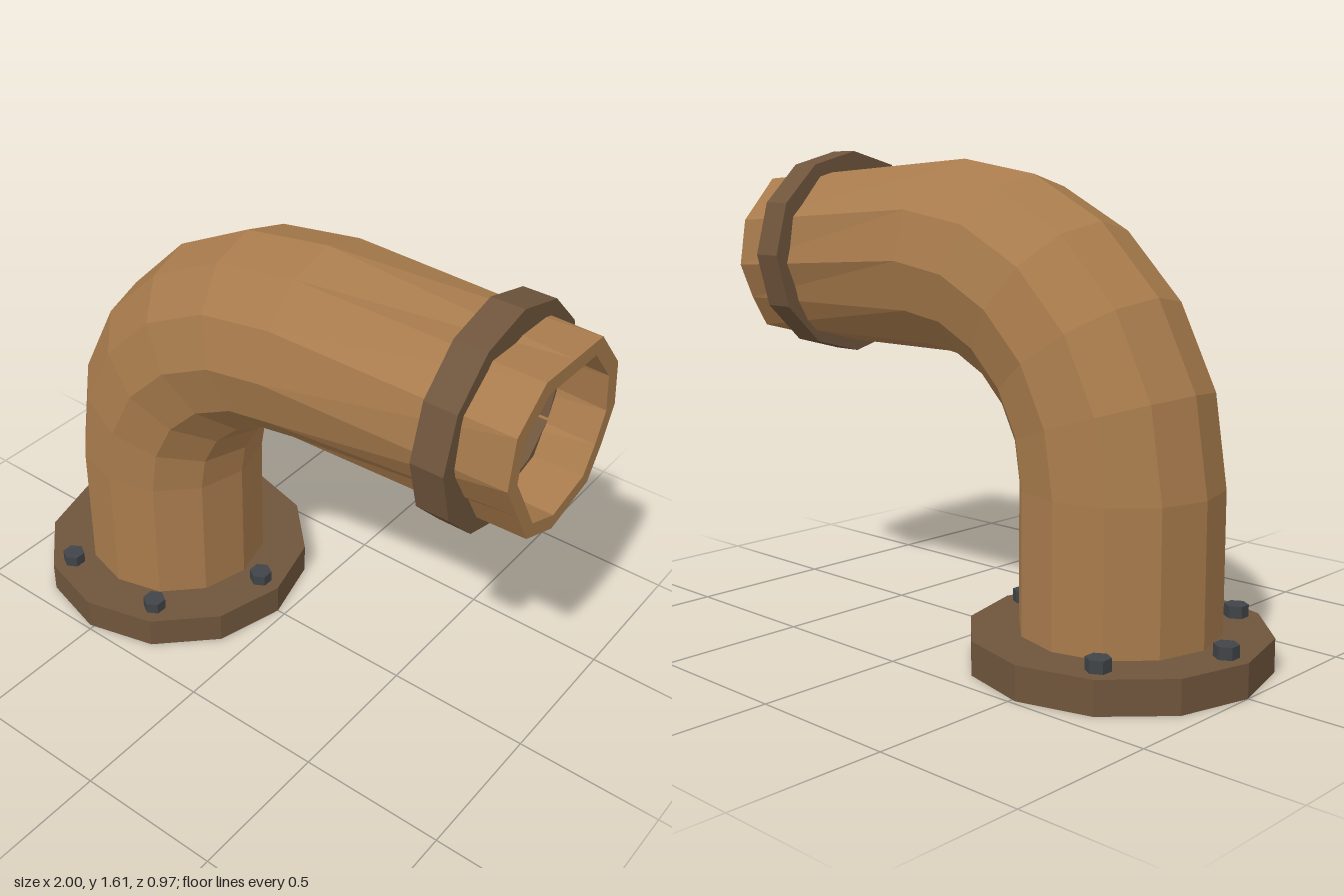
import * as THREE from 'three';

const SIDES = 12;
const PIPE_X = -0.515, BEND_X = 0.165, BEND_Y = 0.57, BEND_R = 0.68;
const AXIS_Y = BEND_Y + BEND_R;
const OUTER = 0.325, BORE = 0.26;

// Skin a list of equal-length rings of points
function loft(rings) {
  const index = [];
  for (let i = 0; i < rings.length - 1; i++) {
    for (let k = 0; k < SIDES; k++) {
      const next = (k + 1) % SIDES;
      const a = i * SIDES + k, b = i * SIDES + next;
      index.push(a, b, a + SIDES, b, b + SIDES, a + SIDES);
    }
  }
  const geometry = new THREE.BufferGeometry().setFromPoints(rings.flat());
  geometry.setIndex(index);
  geometry.computeVertexNormals();
  return geometry;
}

// Ring across the pipe; angle 0 faces up the riser, PI/2 faces along +x
function pipeRing(cx, cy, angle, radius) {
  return Array.from({ length: SIDES }, (_, k) => {
    const t = (k / SIDES) * Math.PI * 2;
    const out = radius * Math.cos(t);
    return new THREE.Vector3(
      cx - Math.cos(angle) * out, cy + Math.sin(angle) * out, radius * Math.sin(t));
  });
}

// Riser and elbow rings for one radius
function bentRings(radius) {
  const rings = [pipeRing(PIPE_X, 0, 0, radius)];
  for (let i = 0; i <= 5; i++) {
    const a = (i / 5) * Math.PI / 2;
    rings.push(pipeRing(BEND_X - BEND_R * Math.cos(a), BEND_Y + BEND_R * Math.sin(a), a, radius));
  }
  return rings;
}

// Slightly irregular mouth, as [z, y]
const MOUTH = [
  [0, 1.51], [0.15, 1.513], [0.28, 1.405], [0.3, 1.24], [0.225, 1.11], [0.153, 0.983],
  [0, 0.923], [-0.2, 0.975], [-0.26, 1.08], [-0.31, 1.2], [-0.285, 1.36], [-0.157, 1.507],
];
const mouthRing = (scale) =>
  MOUTH.map(([z, y]) => new THREE.Vector3(1, 1.22 + (y - 1.22) * scale, z * scale));

// Flat-sided ring, standing on y = 0
function band(inner, outer, height) {
  const profile = [[inner, 0], [outer, 0], [outer, height], [inner, height], [inner, 0]];
  return new THREE.LatheGeometry(profile.map(([r, y]) => new THREE.Vector2(r, y)), SIDES);
}

export function createModel() {
  const group = new THREE.Group();
  const material = (name, color) => {
    const m = new THREE.MeshStandardMaterial({ color, flatShading: true });
    m.name = name;
    return m;
  };
  const copper = material('copper brown', 0xa87b4c);
  const darkBrown = material('dark brown', 0x6f553c);
  const iron = material('dark iron', 0x404448);

  const add = (name, geometry, mat, x, y, z) => {
    const mesh = new THREE.Mesh(geometry, mat);
    mesh.name = name;
    mesh.position.set(x, y, z);
    group.add(mesh);
    return mesh;
  };

  // Hollow pipe: outer skin, mouth rim, then back down the bore
  const rings = [
    ...bentRings(OUTER), mouthRing(1), mouthRing(0.83), ...bentRings(BORE).reverse(),
  ];
  add('pipe', loft(rings), copper, 0, 0, 0);

  // Floor flange
  add('flange', band(BORE + 0.001, 0.485, 0.11), darkBrown, PIPE_X, 0, 0);

  // Collar near the mouth
  const collar = add('collar', band(0.257, 0.36, 0.11), darkBrown, 0.725, AXIS_Y - 0.005, 0);
  collar.rotation.z = -Math.PI / 2;

  // Five bolts on a six-place circle; the place behind the pipe is empty
  const boltGeometry = new THREE.CylinderGeometry(0.04, 0.04, 0.06, 6);
  for (let i = 0; i < 5; i++) {
    const a = (i / 6) * Math.PI * 2;
    add('bolt' + (i + 1), boltGeometry, iron,
      PIPE_X + 0.405 * Math.cos(a), 0.12, 0.405 * Math.sin(a));
  }
  return group;
}
